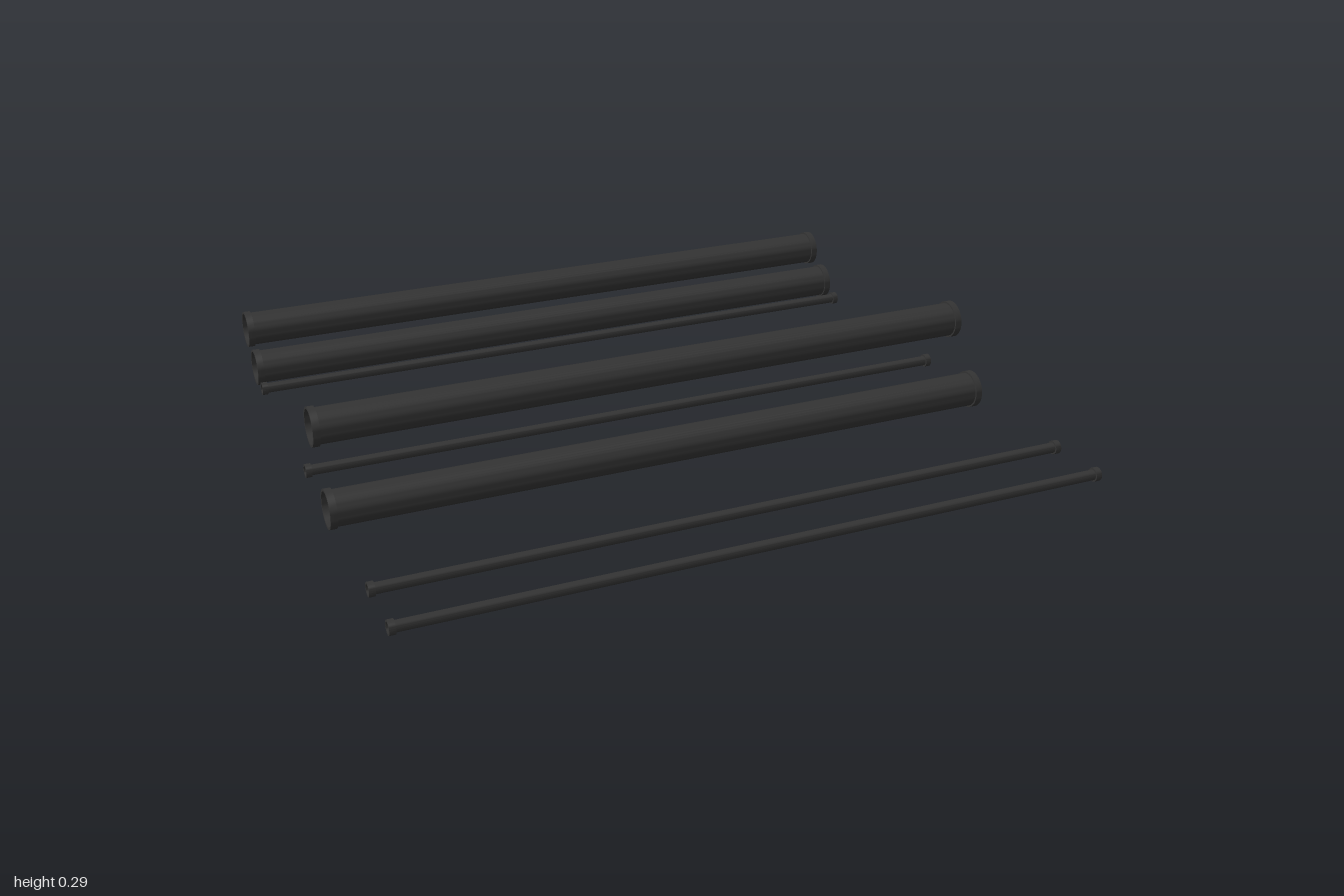
import * as THREE from 'three';
import { toCreasedNormals } from 'three/addons/utils/BufferGeometryUtils.js';

const material = new THREE.MeshStandardMaterial({ color: 0x333333, side: THREE.DoubleSide });

// Hollow pipe lying along x, with a raised collar at each end
function pipeGeometry(bore, body, collar, collarLength, sides) {
  const inner = 1 - collarLength;
  const profile = [
    [bore, -1], [collar, -1], [collar, -inner], [body, -inner],
    [body, inner], [collar, inner], [collar, 1], [bore, 1], [bore, -1],
  ].map(([r, y]) => new THREE.Vector2(r, y));
  const geometry = new THREE.LatheGeometry(profile, sides);
  geometry.rotateZ(-Math.PI / 2);
  return toCreasedNormals(geometry, 0.6);
}

export function createModel() {
  const group = new THREE.Group();
  group.name = 'pipes';

  const large = pipeGeometry(0.0488, 0.0505, 0.0555, 0.02, 40);
  const small = pipeGeometry(0.0142, 0.0148, 0.0195, 0.017, 24);

  const addPipes = (name, geometry, positions) => positions.forEach(([y, z], i) => {
    const pipe = new THREE.Mesh(geometry, material);
    pipe.name = `${name}${i + 1}`;
    pipe.position.set(0, y, z);
    group.add(pipe);
  });

  // Wide pipes, in two pairs
  addPipes('largePipe', large, [[0.064, 0.238], [0.243, 0.1], [0.094, -0.709], [0.182, -0.814]]);
  // Narrow pipes, all at one height
  addPipes('smallPipe', small, [[0.06, 0.855], [0.06, 0.671], [0.06, -0.012], [0.06, -0.615]]);

  return group;
}
